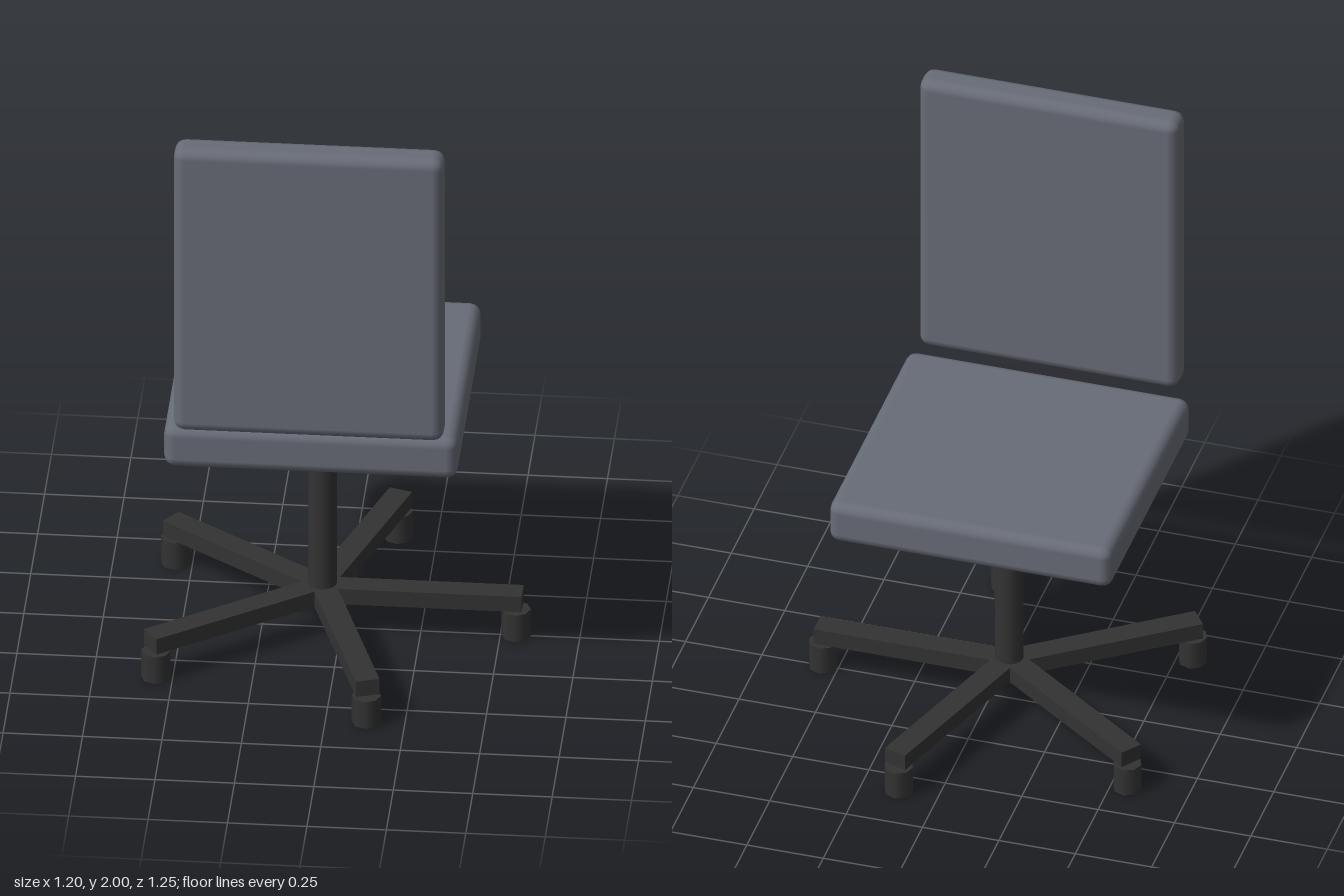
import * as THREE from 'three';
import { RoundedBoxGeometry } from 'three/addons/geometries/RoundedBoxGeometry.js';

export function createModel() {
  const chair = new THREE.Group();
  chair.name = 'officeChair';
  const fabric = new THREE.MeshStandardMaterial({ name: 'greyFabric', color: 0x686c77 });
  const plastic = new THREE.MeshStandardMaterial({ name: 'blackPlastic', color: 0x333333 });
  const centerX = -0.06;

  function add(name, geometry, material, x, y, z, parent = chair) {
    const mesh = new THREE.Mesh(geometry, material);
    mesh.name = name;
    mesh.position.set(x, y, z);
    parent.add(mesh);
    return mesh;
  }

  // Cushions
  add('seat', new RoundedBoxGeometry(0.925, 0.147, 0.89, 2, 0.035), fabric, centerX, 0.878, 0);
  add('backrest', new RoundedBoxGeometry(0.85, 1.02, 0.106, 2, 0.035), fabric, centerX, 1.49, 0.467);

  // Central post
  add('post', new THREE.CylinderGeometry(0.045, 0.045, 0.71, 16), plastic, centerX, 0.465, 0);

  // Five-spoke base with a caster under each tip
  const base = new THREE.Group();
  base.name = 'base';
  base.position.x = centerX;
  chair.add(base);
  const legGeometry = new THREE.BoxGeometry(0.63, 0.055, 0.076).translate(0.315, 0, 0);
  const casterGeometry = new THREE.CylinderGeometry(0.046, 0.046, 0.096, 8);
  for (let i = 0; i < 5; i++) {
    const angle = (i * Math.PI * 2) / 5;
    const leg = add('leg', legGeometry, plastic, 0, 0.133, 0, base);
    leg.rotation.y = -angle;
    add('caster', casterGeometry, plastic, 0.61 * Math.cos(angle), 0.048, 0.61 * Math.sin(angle), base);
  }
  return chair;
}
